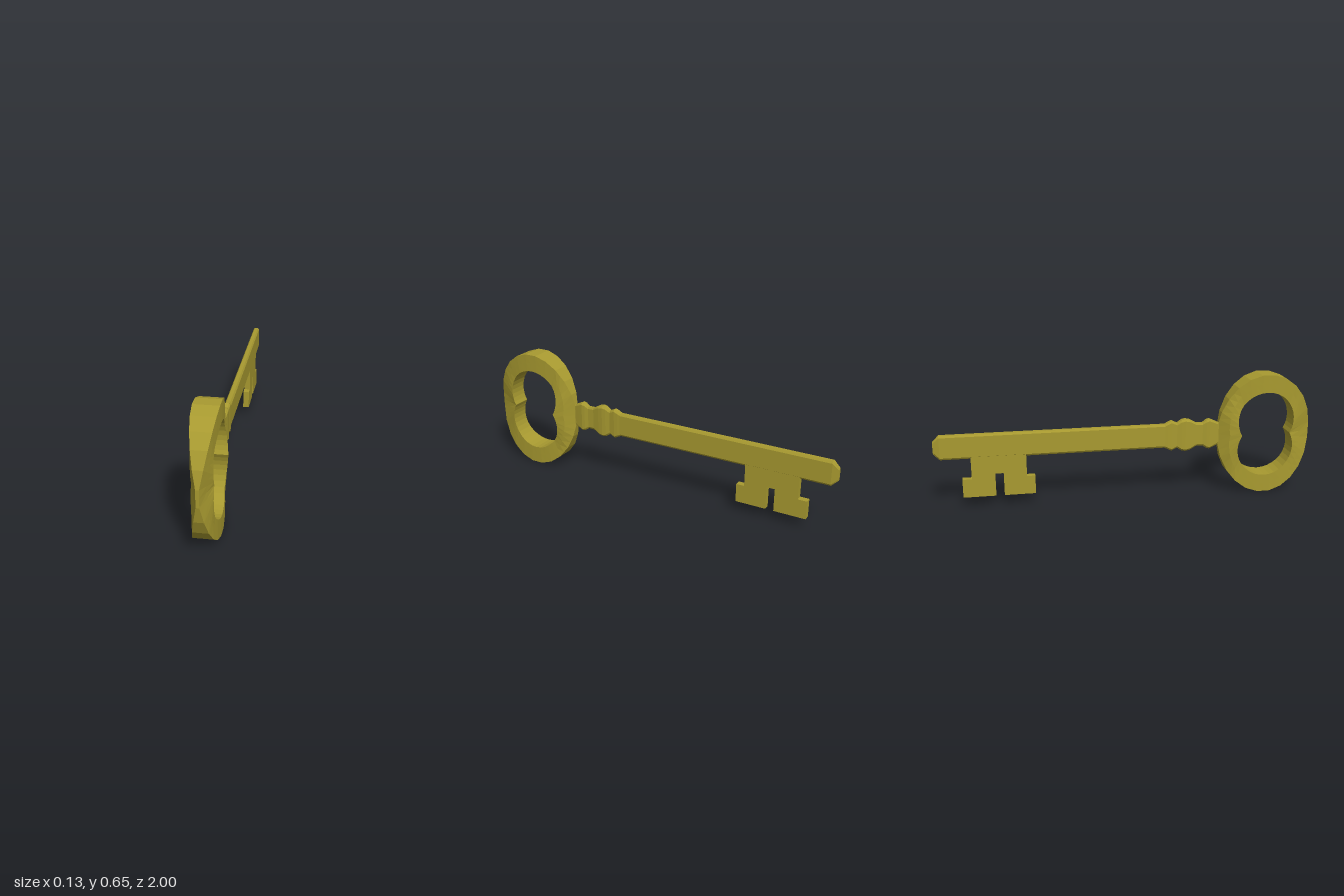
import * as THREE from 'three';

const CY = 0.328; // height of the shaft axis

// Skin between matching cross-sections (corners counter-clockwise facing the sweep direction)
function loft(sections, closed) {
  const n = sections[0].length, m = sections.length, index = [];
  for (let i = 0; i < (closed ? m : m - 1); i++) {
    for (let j = 0; j < n; j++) {
      const a = i * n + j, b = i * n + (j + 1) % n;
      const d = ((i + 1) % m) * n + j, c = ((i + 1) % m) * n + (j + 1) % n;
      index.push(a, b, c, a, c, d);
    }
  }
  if (!closed) {
    const e = (m - 1) * n;
    for (let j = 1; j < n - 1; j++) index.push(0, j + 1, j, e, e + j, e + j + 1);
  }
  const g = new THREE.BufferGeometry();
  g.setAttribute('position', new THREE.Float32BufferAttribute(sections.flat(2), 3));
  g.setIndex(index);
  const flat = g.toNonIndexed();
  flat.computeVertexNormals();
  return flat;
}

// Flat bar section with small chamfers, at depth z with half sizes hx, hy
function barSection(z, hx, hy) {
  const ix = hx * 0.6, iy = hy - Math.min(0.01, hy * 0.3);
  return [[hx, -iy], [hx, iy], [ix, hy], [-ix, hy], [-hx, iy], [-hx, -iy], [-ix, -hy], [ix, -hy]]
    .map(([x, y]) => [x, CY + y, z]);
}

// Ring handle: 24-sided oval outside, two overlapping round lobes inside
function bowGeometry() {
  const cz = 0.743, cy = 0.323, steps = 48, sections = [];
  const oval = (k) => {
    const t = (k / steps) * Math.PI * 2;
    return [0.259 * Math.cos(t), 0.326 * Math.sin(t)];
  };
  for (let k = 0; k < steps; k++) {
    const t = (k / steps) * Math.PI * 2, c = Math.cos(t), s = Math.sin(t);
    // outer rim: corners on odd steps, edge midpoints on even ones
    const p = oval(k % 2 ? k : k - 1), q = oval(k % 2 ? k : k + 1);
    const oz = (p[0] + q[0]) / 2, oy = (p[1] + q[1]) / 2;
    const r = 0.075 * Math.abs(s) + Math.sqrt(0.155 ** 2 - (0.075 * c) ** 2);
    const iz = r * c, iy = r * s;
    // thickness grows away from the middle; the shaft side swells at the middle
    const ox = 0.008 + 0.052 * Math.max(0, (Math.abs(oy) - 0.042) / 0.281);
    const swell = c < 0 ? Math.max(0, 1 - Math.abs(iy) / 0.16) : 0;
    const ix = 0.05 + 0.01 * THREE.MathUtils.clamp((Math.abs(iy) - 0.16) / 0.07, 0, 1) + 0.017 * swell;
    const mx = (ox + ix) / 2 + 0.014 * swell;
    const my = (oy + iy) / 2, mz = (oz + iz) / 2;
    sections.push([[-ox, oy, oz], [ox, oy, oz], [mx, my, mz], [ix, iy, iz], [-ix, iy, iz], [-mx, my, mz]]
      .map(([x, y, z]) => [x, cy + y, cz + z]));
  }
  return loft(sections, true);
}

// Notched bit, drawn in (-z, y) and extruded across x
function bitGeometry() {
  const half = 0.0165;
  const shape = new THREE.Shape([
    [0.533, 0.28], [0.533, 0.153], [0.49, 0.153], [0.49, 0.055], [0.652, 0.055], [0.652, 0.177],
    [0.695, 0.177], [0.695, 0.055], [0.863, 0.055], [0.863, 0.153], [0.815, 0.153], [0.815, 0.28],
  ].map(([u, v]) => new THREE.Vector2(u, v)));
  return new THREE.ExtrudeGeometry(shape, { depth: half * 2, bevelEnabled: false })
    .translate(0, 0, -half).rotateY(Math.PI / 2);
}

export function createModel() {
  const model = new THREE.Group();
  model.name = 'key';
  const metal = new THREE.MeshStandardMaterial({ color: 0xa89a30, flatShading: true });
  const add = (name, geometry) => {
    const mesh = new THREE.Mesh(geometry, metal);
    mesh.name = name;
    model.add(mesh);
  };

  add('bow', bowGeometry());

  // shaft with a chamfered tip
  add('shaft', loft([
    [-1, 0.008, 0.032], [-0.967, 0.017, 0.064], [0.2, 0.017, 0.064],
  ].map((a) => barSection(...a))));

  // turned collar between shaft and bow
  add('collar', loft([
    [0.195, 0.016, 0.063], [0.215, 0.018, 0.073], [0.235, 0.019, 0.082], [0.265, 0.015, 0.068],
    [0.29, 0.02, 0.084], [0.31, 0.022, 0.088], [0.335, 0.02, 0.083], [0.37, 0.014, 0.064],
    [0.405, 0.014, 0.063], [0.425, 0.019, 0.077], [0.442, 0.021, 0.082], [0.465, 0.017, 0.072],
    [0.487, 0.013, 0.062], [0.51, 0.013, 0.062],
  ].map((a) => barSection(...a))));

  add('bit', bitGeometry());
  return model;
}
